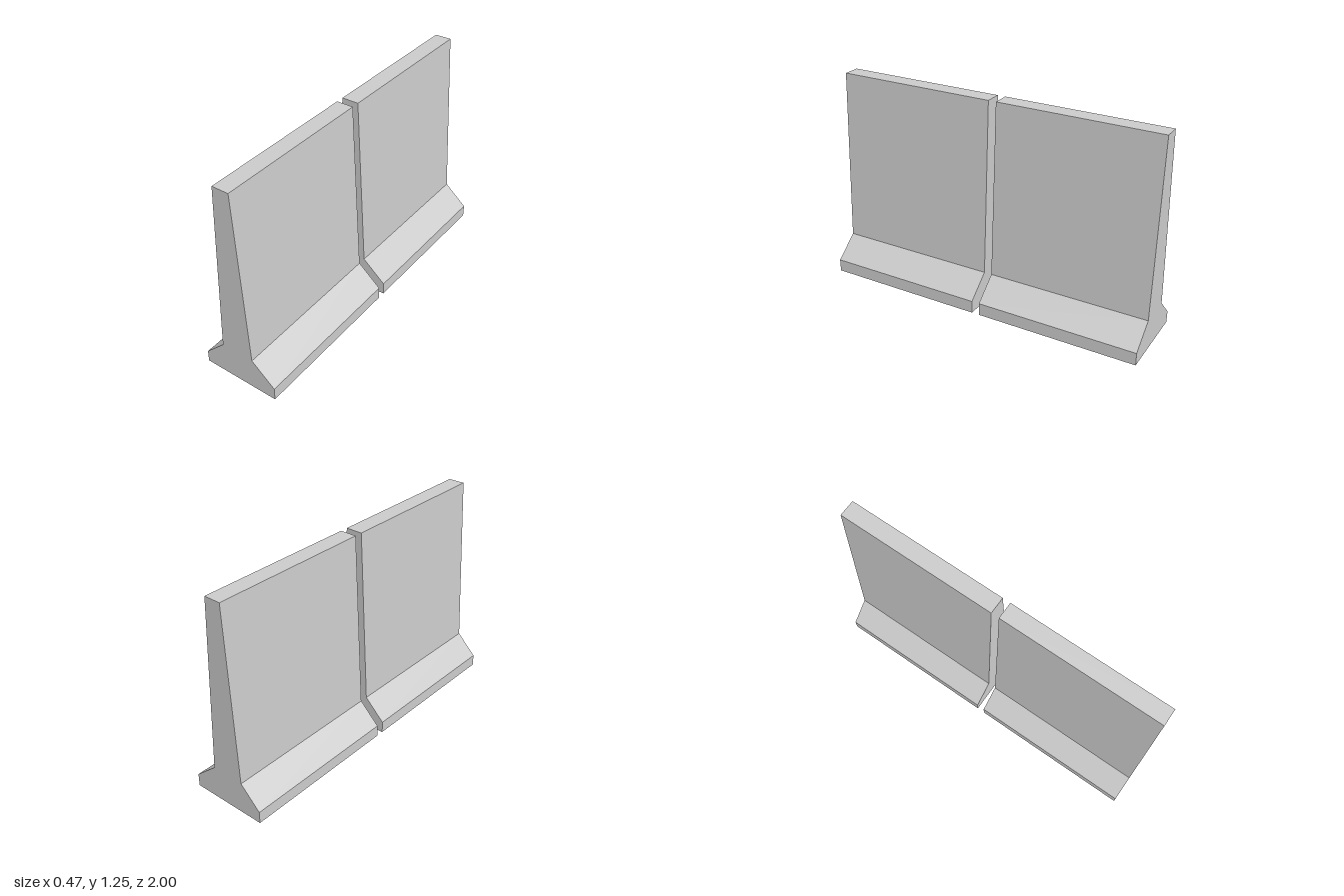
import * as THREE from 'three';

// Wall cross-section: wide foot, sloped shoulders, tapering stem
const PROFILE = [
  [-0.237, 0.005], [0.235, 0], [0.235, 0.077], [0.091, 0.2],
  [0.038, 1.25], [-0.064, 1.25], [-0.112, 0.2], [-0.237, 0.077],
];

function wallSection(name, zBack, zFront, material) {
  const shape = new THREE.Shape(PROFILE.map(([x, y]) => new THREE.Vector2(x, y)));
  const geometry = new THREE.ExtrudeGeometry(shape, { depth: zFront - zBack, bevelEnabled: false });
  const mesh = new THREE.Mesh(geometry, material);
  mesh.name = name;
  mesh.position.z = zBack;
  return mesh;
}

export function createModel() {
  const group = new THREE.Group();
  group.name = 'concreteBarrier';
  const material = new THREE.MeshStandardMaterial({ color: 0xcccccc, flatShading: true });
  // Two sections in a row with a narrow joint between them
  group.add(
    wallSection('frontSection', 0.022, 1, material),
    wallSection('backSection', -1, -0.025, material),
  );
  return group;
}
